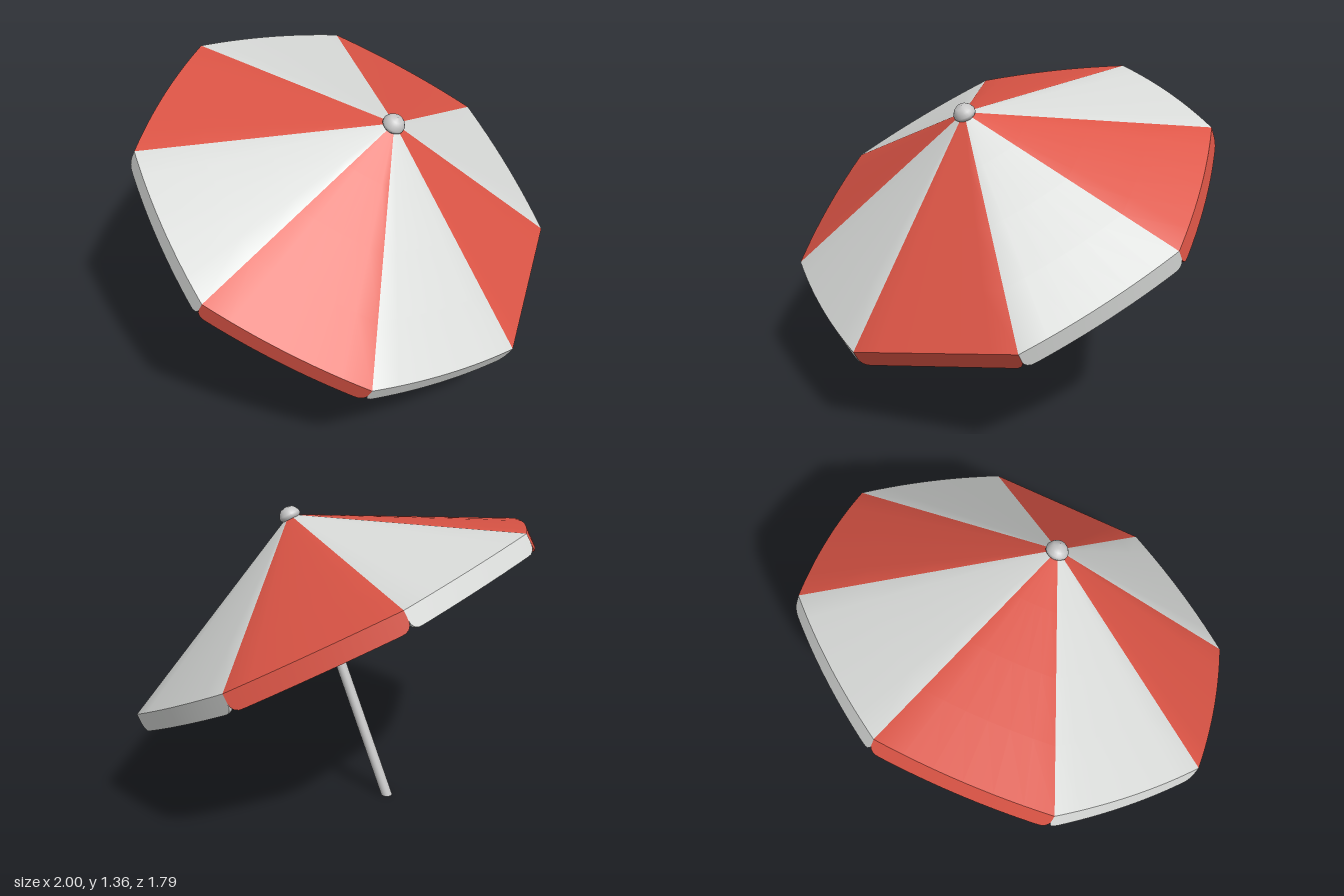
import * as THREE from 'three';
import { toCreasedNormals } from 'three/addons/utils/BufferGeometryUtils.js';

const PANELS = 8, COLS = 6, ROWS = 4;
const STEP = (Math.PI * 2) / PANELS;
const HALF = Math.sin(STEP / 2);      // half the length of one rim edge
const INNER = Math.cos(STEP / 2);     // distance from the axis to the edge
const APEX = new THREE.Vector3(0, 0.487, -0.016);
const UP = new THREE.Vector3(0, 1, 0);

// slight outward bow of each rim edge; the front left edge is pulled straight
const bow = (k, u) => (k === 0 ? 0 : 0.022) * (1 - u * u);

function rimPoint(k, u) {
  return new THREE.Vector3(HALF * u, 0, INNER + bow(k, u)).applyAxisAngle(UP, (k + 0.5) * STEP);
}

// cone of striped panels sharing smooth normals, one material group per panel
function canopyGeometry() {
  const pos = [], index = [], total = PANELS * COLS;
  for (let r = 0; r <= ROWS; r++) {
    for (let c = 0; c < total; c++) {
      const rim = rimPoint(Math.floor(c / COLS), ((c % COLS) / COLS) * 2 - 1);
      pos.push(...APEX.clone().lerp(rim, r / ROWS).toArray());
    }
  }
  const geo = new THREE.BufferGeometry();
  for (let k = 0; k < PANELS; k++) {
    const start = index.length;
    for (let c = k * COLS; c < (k + 1) * COLS; c++) {
      const n = (c + 1) % total;
      for (let r = 0; r < ROWS; r++) {
        const a = r * total, b = a + total;
        index.push(a + c, b + c, b + n);
        if (r > 0) index.push(a + c, b + n, a + n);
      }
    }
    geo.addGroup(start, index.length - start, k % 2);
  }
  geo.setAttribute('position', new THREE.Float32BufferAttribute(pos, 3));
  geo.setIndex(index);
  geo.computeVertexNormals();
  return geo;
}

// hanging flap with rounded lower corners, following the bowed rim
function flapGeometry(k) {
  const depth = 0.085, round = 0.04, thick = 0.014;
  const geo = new THREE.BoxGeometry(2, 1, thick, 24, 1, 1);
  const p = geo.attributes.position;
  for (let i = 0; i < p.count; i++) {
    const u = Math.sin((p.getX(i) * Math.PI) / 2);
    const end = Math.min(round, HALF * (1 - Math.abs(u)));
    const drop = depth - round + Math.sqrt(Math.max(0, round ** 2 - (round - end) ** 2));
    p.setXYZ(i, HALF * u, p.getY(i) > 0 ? 0 : -drop, INNER + bow(k, u) + p.getZ(i) - thick / 2);
  }
  return toCreasedNormals(geo, 0.6);
}

export function createModel() {
  const mat = (name, color) => Object.assign(new THREE.MeshStandardMaterial({ color }), { name });
  const red = mat('red cloth', 0xdd5546);
  const white = mat('white cloth', 0xdadcda);
  const metal = mat('pale metal', 0xc6c6c6);
  red.side = white.side = THREE.DoubleSide;

  const model = new THREE.Group();
  model.name = 'parasol';
  const add = (parent, name, geo, material) => {
    const mesh = new THREE.Mesh(geo, material);
    mesh.name = name;
    parent.add(mesh);
    return mesh;
  };

  // tilted top
  const top = new THREE.Group();
  top.name = 'top';
  top.position.set(0, 0.885, 0.015);
  top.rotation.x = 0.5;
  model.add(top);
  add(top, 'canopy', canopyGeometry(), [red, white]);
  for (let k = 0; k < PANELS; k++) {
    add(top, 'flap' + (k + 1), flapGeometry(k), k % 2 ? white : red).rotation.y = (k + 0.5) * STEP;
  }

  // cap on the peak
  const profile = [[0, -0.03], [0.035, -0.03], [0.049, -0.012], [0.049, 0], [0.04, 0.017], [0.027, 0.03], [0, 0.036]];
  const cap = new THREE.LatheGeometry(profile.map(([x, y]) => new THREE.Vector2(x, y)), 24);
  add(top, 'cap', cap, metal).position.copy(APEX);

  // leaning pole, sheared so its foot stays level with the ground
  const height = 1.3;
  const pole = new THREE.CylinderGeometry(0.026, 0.026, height, 20);
  pole.translate(0, height / 2, 0);
  pole.applyMatrix4(new THREE.Matrix4().set(1, 0, 0, 0, 0, 1, 0, 0, 0, 0.379, 1, -0.265, 0, 0, 0, 1));
  add(model, 'pole', pole, metal);

  return model;
}
